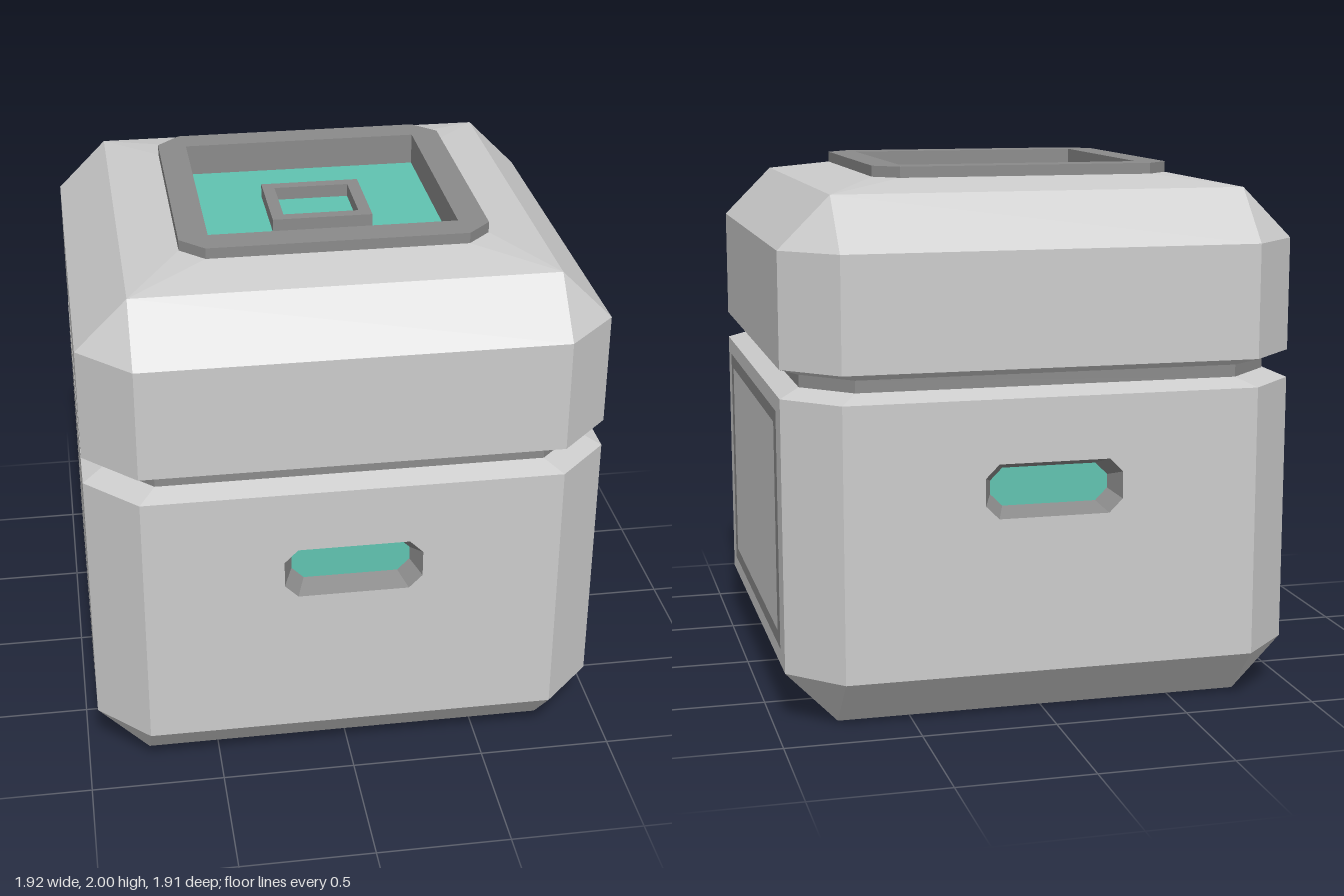
import * as THREE from 'three';

const grey = new THREE.MeshStandardMaterial({ color: 0xcccccc, flatShading: true });
const dark = new THREE.MeshStandardMaterial({ color: 0x8a8a8a, flatShading: true });
const green = new THREE.MeshStandardMaterial({ color: 0x60c3b0, flatShading: true });

// Corners of a rectangle with its corners cut off by c
const octagon = (hx, hy, c) => [
  [hx, c - hy], [hx, hy - c], [hx - c, hy], [c - hx, hy],
  [-hx, hy - c], [-hx, c - hy], [c - hx, -hy], [hx - c, -hy],
];

const ring = (hx, hz, c, y) => octagon(hx, hz, c).map(([x, z]) => new THREE.Vector3(x, y, z));

// Joins successive eight-sided rings; skip(band, side) leaves a face open
function loft(rings, skip = () => false) {
  const points = [];
  const triangle = (a, b, c) => {
    if (new THREE.Triangle(a, b, c).getArea() > 1e-7) points.push(a, b, c);
  };
  for (let r = 0; r < rings.length - 1; r++) {
    for (let i = 0; i < 8; i++) {
      if (skip(r, i)) continue;
      const j = (i + 1) % 8;
      triangle(rings[r][i], rings[r + 1][i], rings[r + 1][j]);
      triangle(rings[r][i], rings[r + 1][j], rings[r][j]);
    }
  }
  const geometry = new THREE.BufferGeometry().setFromPoints(points);
  geometry.computeVertexNormals();
  return geometry;
}

const toPoints = (list, dy = 0) => list.map(([x, y]) => new THREE.Vector2(x, y + dy));

function rectangle(hx, hy) {
  return [[-hx, -hy], [hx, -hy], [hx, hy], [-hx, hy]];
}

function shapeWithHole(outer, inner) {
  const shape = new THREE.Shape(toPoints(outer));
  if (inner) shape.holes.push(new THREE.Path(toPoints(inner)));
  return shape;
}

function add(parent, name, geometry, material) {
  const mesh = new THREE.Mesh(geometry, material);
  mesh.name = name;
  parent.add(mesh);
  return mesh;
}

// Upright frame seen from above, standing between two heights
function flatFrame(outer, inner, y0, y1) {
  const options = { depth: y1 - y0, bevelEnabled: false };
  return new THREE.ExtrudeGeometry(shapeWithHole(outer, inner), options)
    .rotateX(-Math.PI / 2).translate(0, y0, 0);
}

export function createModel() {
  const model = new THREE.Group();
  model.name = 'crate';

  const half = 0.957, cut = 0.19, low = 0.195, high = 1.205;
  const waist = (y) => ring(0.88, 0.88, 0.173, y);
  const wide = (y) => ring(half, half, cut, y);
  const edge = (y) => ring(0.767, 0.767, 0, y);

  // Lower body, open at front and back for the slotted panels
  const body = loft([edge(0), wide(low), wide(high), waist(1.235)],
    (band, side) => band === 1 && (side === 2 || side === 6));
  add(model, 'lowerBody', body, grey);
  add(model, 'base', new THREE.PlaneGeometry(1.534, 1.534).rotateX(Math.PI / 2), grey);

  // Dark groove between body and lid
  add(model, 'waistBand', loft([waist(1.235), waist(1.28)]), dark);

  // Lid with a shallow sloping top
  add(model, 'lid', loft([
    waist(1.28), wide(1.31), wide(1.73), edge(1.92), ring(0.563, 0.563, 0.088, 1.96),
  ]), grey);

  // Recessed top panel with its rim and central frame
  const floor = 1.88;
  add(model, 'topRim',
    flatFrame(octagon(0.563, 0.563, 0.088), rectangle(0.455, 0.445), floor, 2), dark);
  add(model, 'topPanel',
    new THREE.PlaneGeometry(0.92, 0.9).rotateX(-Math.PI / 2).translate(0, floor + 0.001, 0), green);
  add(model, 'centreFrame',
    flatFrame(rectangle(0.188, 0.178), rectangle(0.142, 0.132), floor, floor + 0.05), dark);

  // Front and back: panel with a recessed, glowing slot
  const slotY = 0.87, depth = 0.08;
  const slotOuter = octagon(0.255, 0.1, 0.05);
  const panelShape = new THREE.Shape(
    toPoints([[-0.767, low], [0.767, low], [0.767, high], [-0.767, high]]));
  panelShape.holes.push(new THREE.Path(toPoints(slotOuter, slotY)));
  const panel = new THREE.ShapeGeometry(panelShape).translate(0, 0, half);
  const slotWalls = loft([
    ring(0.255, 0.1, 0.05, half), ring(0.22, 0.07, 0.045, half - depth),
  ]).rotateX(Math.PI / 2).translate(0, slotY, 0);
  const slotWindow = new THREE.ShapeGeometry(shapeWithHole(octagon(0.22, 0.07, 0.045)))
    .translate(0, slotY, half - depth);
  for (const [name, turn] of [['front', 0], ['back', Math.PI]]) {
    const side = new THREE.Group();
    side.name = name + 'Side';
    side.rotation.y = turn;
    add(side, name + 'Panel', panel, grey);
    add(side, name + 'SlotWalls', slotWalls, dark);
    add(side, name + 'SlotWindow', slotWindow, green);
    model.add(side);
  }

  // Left and right: flush dark border
  const border = new THREE.ShapeGeometry(
    shapeWithHole(rectangle(0.667, 0.443), rectangle(0.602, 0.392)))
    .translate(0, 0.702, half + 0.002);
  for (const [name, turn] of [['left', 1], ['right', -1]]) {
    add(model, name + 'Border', border, dark).rotation.y = turn * Math.PI / 2;
  }

  return model;
}
